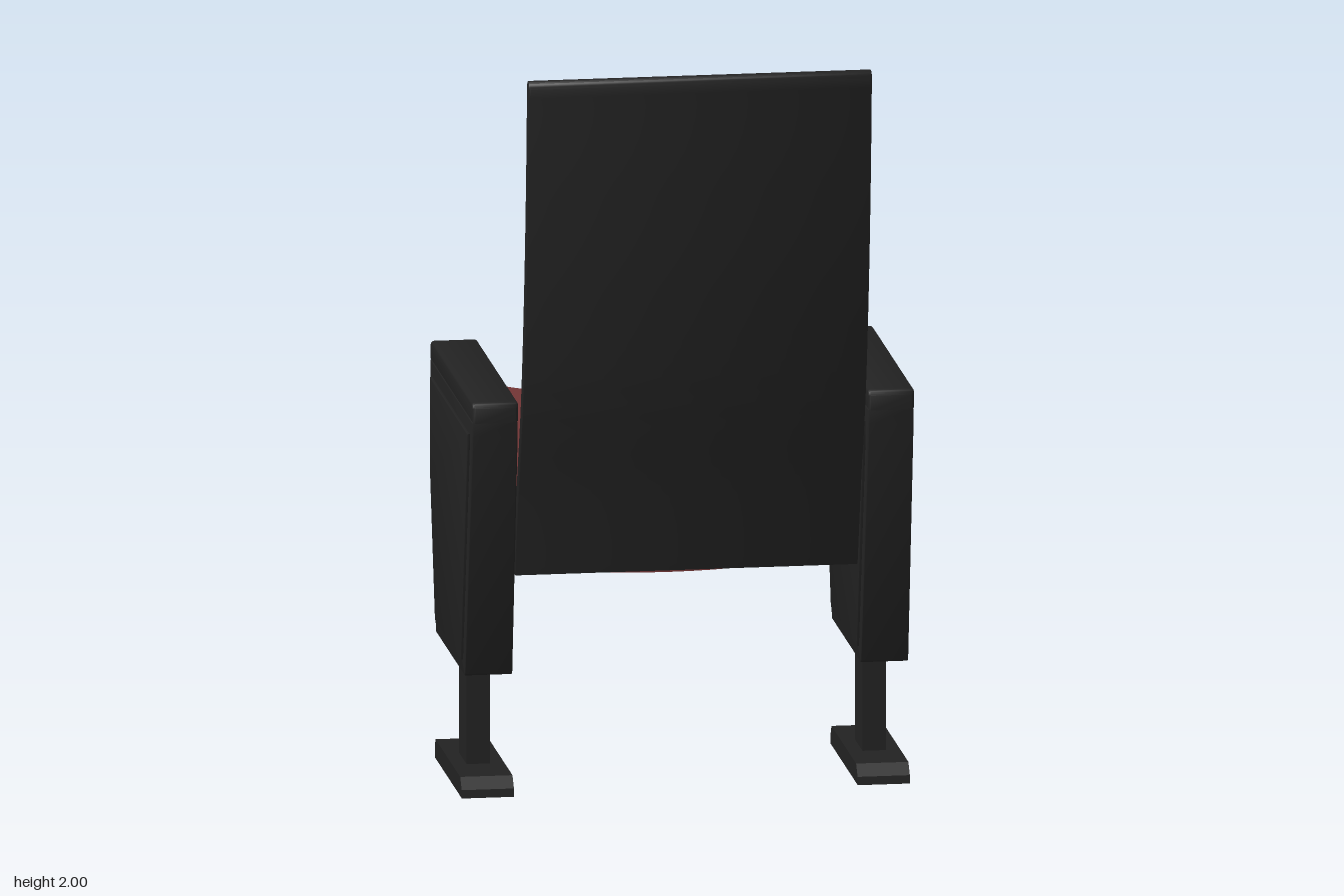
import * as THREE from 'three';
import { toCreasedNormals } from 'three/addons/utils/BufferGeometryUtils.js';

const black = new THREE.MeshStandardMaterial({ color: 0x222222 });
black.name = 'black plastic';
const red = new THREE.MeshStandardMaterial({ color: 0x743636 });
red.name = 'red upholstery';

const clamp = THREE.MathUtils.clamp;

// Closed outline of [z, y, cornerRadius] points with softened corners
function outline(points) {
  const shape = new THREE.Shape();
  const n = points.length;
  points.forEach(([z, y, r = 0], i) => {
    const p = new THREE.Vector2(z, y);
    const toward = ([a, b]) => new THREE.Vector2(a, b).sub(p).setLength(r).add(p);
    const a = toward(points[(i + n - 1) % n]);
    const b = toward(points[(i + 1) % n]);
    if (i === 0) shape.moveTo(a.x, a.y);
    else shape.lineTo(a.x, a.y);
    if (r > 0) shape.quadraticCurveTo(p.x, p.y, b.x, b.y);
  });
  shape.closePath();
  return shape;
}

// Side profile (z, y) swept across x, optionally bent by a rule
function sweep(name, shape, material, x0, x1, { bevel = 0, steps = 1, bend, crease = 0.6, segments = 6 } = {}) {
  const width = x1 - x0;
  const geo = new THREE.ExtrudeGeometry(shape, {
    depth: width - 2 * bevel, steps, curveSegments: segments,
    bevelEnabled: bevel > 0, bevelThickness: bevel, bevelSize: bevel,
    bevelOffset: -bevel, bevelSegments: 4,
  });
  geo.translate(0, 0, bevel - width / 2).rotateY(-Math.PI / 2);
  if (bend) {
    const pos = geo.attributes.position;
    const v = new THREE.Vector3();
    for (let i = 0; i < pos.count; i++) {
      v.fromBufferAttribute(pos, i);
      bend(v);
      pos.setXYZ(i, v.x, v.y, v.z);
    }
  }
  const mesh = new THREE.Mesh(toCreasedNormals(geo, crease), material);
  mesh.name = name;
  mesh.position.x = (x0 + x1) / 2;
  return mesh;
}

const vectors = (points) => points.map(([z, y]) => new THREE.Vector2(z, y));

// Curved rear shell of the backrest
function backShell() {
  const rear = [[0.38, 0.6], [0.445, 0.84], [0.525, 1.1], [0.58, 1.4], [0.615, 1.7], [0.635, 1.98]];
  const front = rear.map(([z, y]) => [z - 0.036, y]).reverse();
  const s = new THREE.Shape();
  s.moveTo(...rear[0]);
  s.splineThru(vectors(rear.slice(1)));
  s.quadraticCurveTo(0.634, 2, 0.617, 2);
  s.quadraticCurveTo(0.6, 2, ...front[0]);
  s.splineThru(vectors(front.slice(1)));
  s.closePath();
  return sweep('backShell', s, black, -0.46, 0.46, { bevel: 0.004 });
}

// Padded backrest, hollowed slightly across its front
function backCushion() {
  const s = new THREE.Shape();
  s.moveTo(0.37, 0.74);
  s.splineThru(vectors([[0.43, 0.92], [0.48, 1.1], [0.53, 1.35], [0.56, 1.6], [0.577, 1.84]]));
  s.quadraticCurveTo(0.578, 1.88, 0.55, 1.88);
  s.lineTo(0.47, 1.88);
  s.quadraticCurveTo(0.42, 1.875, 0.4, 1.81);
  s.splineThru(vectors([[0.36, 1.6], [0.31, 1.42], [0.25, 1.25], [0.19, 1.08], [0.145, 0.92], [0.12, 0.78]]));
  s.quadraticCurveTo(0.115, 0.74, 0.15, 0.74);
  s.closePath();
  const bend = (v) => {
    const rear = 0.385 + 0.168 * (v.y - 0.75);
    const front = clamp((rear - v.z) / 0.1, 0, 1);
    v.z += 0.025 * front * (1 - THREE.MathUtils.smoothstep(Math.abs(v.x), 0.12, 0.38));
  };
  return sweep('backCushion', s, red, -0.405, 0.395, { bevel: 0.035, steps: 16, bend });
}

// Seat sags toward the middle, more on top than underneath
function seatBend(v) {
  const base = 0.58 - 0.12 * (v.z - 0.12);
  const height = clamp((v.y - base) / 0.2, 0, 1);
  const middle = Math.max(0, 1 - (v.x / 0.4425) ** 2);
  v.y -= (0.033 + 0.025 * height) * middle;
  if (v.z < -0.4) v.z -= 0.012 * middle;
}

function seat() {
  const group = new THREE.Group();
  group.name = 'seat';
  const cushion = outline([
    [0.122, 0.582, 0.015], [0.122, 0.755, 0.03], [-0.2, 0.822, 0.05],
    [-0.615, 0.913, 0.025], [-0.625, 0.67, 0.02],
  ]);
  const base = outline([
    [0.11, 0.565], [0.11, 0.6], [-0.606, 0.69], [-0.61, 0.655, 0.01],
  ]);
  group.add(
    sweep('seatCushion', cushion, red, -0.45, 0.435, { bevel: 0.03, steps: 16, bend: seatBend }),
    sweep('seatBase', base, red, -0.445, 0.43, { steps: 16, bend: seatBend }),
  );
  return group;
}

// Arm panel with cap, raised plate, post and foot
function armrest(name, x) {
  const group = new THREE.Group();
  group.name = name;
  const side = [
    [0.522, 1.052], [0.522, 1.01], [0.385, 0.332, 0.008], [-0.135, 0.332, 0.008],
    [-0.237, 0.77], [-0.237, 1.052],
  ];
  const plate = side.map(([z, y]) => [0.135 + (z - 0.135) * 0.89, 0.69 + (y - 0.69) * 0.89]);
  const cap = [[0.524, 1.05], [0.524, 1.105, 0.015], [-0.24, 1.105, 0.025], [-0.24, 1.05, 0.005]];
  const foot = [[0.39, 0], [0.387, 0.022], [0.36, 0.052], [-0.085, 0.052], [-0.1, 0.03], [-0.1, 0]];
  // Inner and outer faces spread a touch toward the floor on one side
  const flare = (v) => { if (v.x > 0) v.x += 0.006 * clamp((1.05 - v.y) / 0.7, 0, 1); };
  const post = new THREE.Mesh(new THREE.BoxGeometry(0.063, 0.3, 0.14), black);
  post.name = 'post';
  post.position.set(0, 0.19, 0.145);
  group.add(
    sweep('armPanel', outline(side), black, -0.062, 0.06, { bevel: 0.004, bend: flare }),
    sweep('armPlate', outline(plate), black, -0.069, -0.061, { bevel: 0.002 }),
    sweep('armCap', outline(cap), black, -0.062, 0.062, { bevel: 0.008 }),
    sweep('foot', outline(foot), black, -0.07, 0.07, { crease: 0.3 }),
    post,
  );
  group.position.x = x;
  return group;
}

export function createModel() {
  const model = new THREE.Group();
  model.name = 'auditoriumSeat';
  model.add(
    backShell(),
    backCushion(),
    seat(),
    armrest('rightArmrest', -0.533),
    armrest('leftArmrest', 0.528),
  );
  return model;
}
